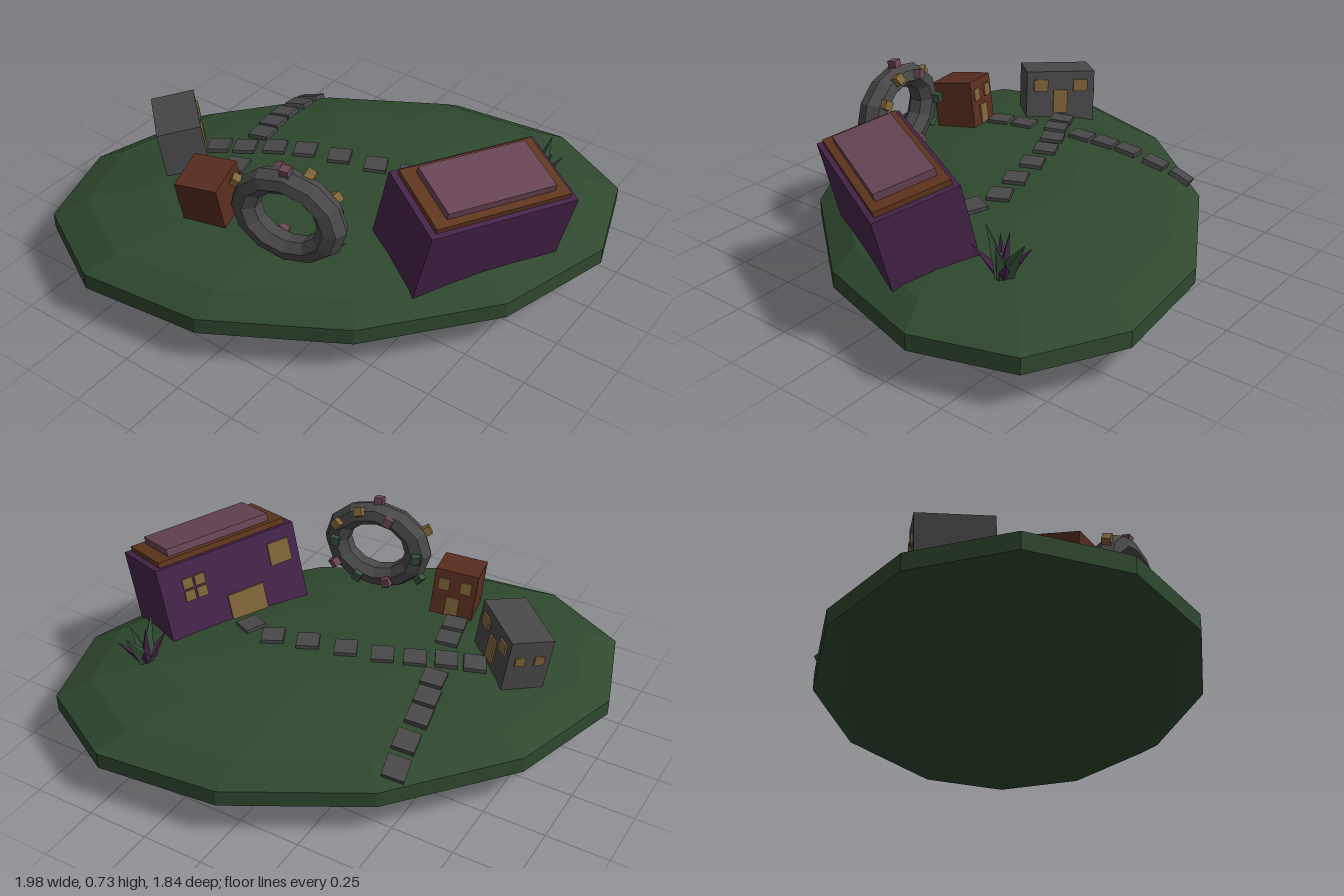
import * as THREE from 'three';

const mat = (name, color) => {
  const m = new THREE.MeshStandardMaterial({ color, flatShading: true });
  m.name = name;
  return m;
};
const M = {
  grass: mat('grass green', 0x2f482e),
  plum: mat('plum wall', 0x46244a),
  rose: mat('dusty rose', 0x674454),
  trim: mat('brown trim', 0x5e361d),
  rust: mat('rust wall', 0x592d1f),
  gray: mat('stone gray', 0x484848),
  gold: mat('window gold', 0x7d6338),
  leaf: mat('leaf green', 0x35503a),
};

const rad = THREE.MathUtils.degToRad;
const V = (x, y, z) => new THREE.Vector3(x, y, z);

function add(parent, name, geometry, material, x = 0, y = 0, z = 0) {
  const mesh = new THREE.Mesh(geometry, material);
  mesh.name = name;
  mesh.position.set(x, y, z);
  parent.add(mesh);
  return mesh;
}
const box = (parent, name, material, w, h, d, x, y, z) =>
  add(parent, name, new THREE.BoxGeometry(w, h, d), material, x, y, z);

// Group whose local y follows a normal and whose local x follows a direction
function frame(parent, name, pos, xDir, normal) {
  const g = new THREE.Group();
  g.name = name;
  const y = normal.clone().normalize();
  const z = xDir.clone().cross(y).normalize();
  const x = y.clone().cross(z);
  g.quaternion.setFromRotationMatrix(new THREE.Matrix4().makeBasis(x, y, z));
  g.position.copy(pos);
  parent.add(g);
  return g;
}

// Island: a skewed, flattened sphere
const A = V(0.518, 0, -0.934), B = V(0.863, 0, 0.142), H = 0.19;
function groundY(x, z) {
  const det = A.x * B.z - B.x * A.z;
  const p = (x * B.z - B.x * z) / det;
  const q = (A.x * z - A.z * x) / det;
  return H + H * Math.sqrt(Math.max(0, 1 - p * p - q * q));
}
function groundNormal(x, z) {
  const e = 0.03;
  return V(groundY(x - e, z) - groundY(x + e, z), 2 * e, groundY(x, z - e) - groundY(x, z + e));
}

function island(root) {
  const geo = new THREE.SphereGeometry(1, 12, 9);
  geo.applyMatrix4(new THREE.Matrix4().makeBasis(A, V(0, H, 0), B));
  add(root, 'island', geo, M.grass, 0, H, 0);
}

// Large hall; the group origin is the middle of its wall top
function hall(root) {
  const g = frame(root, 'hall', V(0.661, 0.61, 0.035), V(0.28, -0.04, -0.54), V(0.24, 0.965, 0.058));
  box(g, 'hallWalls', M.plum, 0.61, 0.36, 0.33, 0, -0.18, 0);
  box(g, 'roofTrim', M.trim, 0.56, 0.022, 0.29, 0, 0.011, 0);
  box(g, 'roofSlab', M.rose, 0.45, 0.03, 0.23, 0, 0.037, 0);
  const z = -0.168;
  for (const i of [-1, 1]) for (const j of [-1, 1])
    box(g, 'windowPane', M.gold, 0.043, 0.043, 0.009, 0.165 + i * 0.026, -0.115 + j * 0.026, z);
  box(g, 'window', M.gold, 0.095, 0.095, 0.009, -0.22, -0.1, z);
  box(g, 'hallDoor', M.gold, 0.16, 0.15, 0.009, -0.04, -0.275, z);
}

// Small rust house
function rustHouse(root) {
  const g = frame(root, 'rustHouse', V(-0.27, 0.535, 0.48), V(0.17, 0, -0.04), V(-0.04, 0.98, 0.17));
  box(g, 'rustWalls', M.rust, 0.175, 0.23, 0.175, 0, -0.115, 0);
  for (const s of [-1, 1]) box(g, 'window', M.gold, 0.045, 0.05, 0.009, s * 0.045, -0.06, -0.09);
  box(g, 'rustDoor', M.gold, 0.055, 0.08, 0.009, 0, -0.15, -0.09);
}

// Long gray house
function grayHouse(root) {
  const g = frame(root, 'grayHouse', V(-0.63, 0.532, 0.24), V(0.213, 0.01, 0.2), V(-0.12, 0.99, 0.07));
  box(g, 'grayWalls', M.gray, 0.29, 0.23, 0.175, 0, -0.115, 0);
  for (const s of [-1, 1]) {
    box(g, 'sideWindow', M.gold, 0.009, 0.036, 0.04, -0.148, -0.085, s * 0.04);
    box(g, 'frontWindow', M.gold, 0.06, 0.05, 0.009, s * 0.085, -0.06, -0.09);
  }
  box(g, 'grayDoor', M.gold, 0.06, 0.1, 0.009, 0, -0.13, -0.09);
}

// Standing stone ring dotted with small blocks: [ring angle, tube angle, material]
function ring(root) {
  const R = 0.179, t = 0.057, squash = 0.82;
  const g = new THREE.Group();
  g.name = 'ring';
  g.position.set(0.12, 0.515, 0.48);
  g.rotation.y = 0.14;
  root.add(g);
  const geo = new THREE.TorusGeometry(R, t, 7, 12);
  geo.scale(1, squash, 1);
  add(g, 'ringStone', geo, M.gray);
  const blocks = [
    [90, 10, M.rose], [150, 20, M.gold], [110, -80, M.rose], [72, -60, M.gold],
    [35, -75, M.gold], [215, -20, M.leaf], [325, -60, M.rose], [5, -100, M.leaf],
    [180, -80, M.leaf], [250, -90, M.rose], [292, -90, M.leaf],
  ];
  for (const [a, b, m] of blocks) {
    const r = R + t * Math.cos(rad(b));
    const block = box(g, 'ringBlock', m, 0.042, 0.036, 0.036,
      r * Math.cos(rad(a)), r * Math.sin(rad(a)) * squash, t * Math.sin(rad(b)));
    block.rotation.set(0, rad(-b), rad(a), 'ZYX');
  }
}

// Stone paths laid on the slope
function paths(root) {
  const routes = [
    [0.17, [[-0.5, -0.48], [-0.48, -0.37], [-0.465, -0.245], [-0.445, -0.145], [-0.42, -0.045]]],
    [0.45, [[-0.51, 0.125], [-0.41, 0.08], [-0.305, 0.02], [-0.19, -0.03],
      [-0.05, -0.07], [0.1, -0.105], [0.24, -0.14]]],
    [-0.45, [[0.365, -0.11]]],
    [0.25, [[-0.355, 0.205], [-0.33, 0.31]]],
  ];
  for (const [yaw, stones] of routes) for (const [x, z] of stones) {
    const g = frame(root, 'pathStone', V(x, groundY(x, z), z),
      V(Math.cos(yaw), 0, -Math.sin(yaw)), groundNormal(x, z));
    box(g, 'stone', M.gray, 0.088, 0.024, 0.088, 0, 0, 0);
  }
}

// Spiky plant: [heading, lean, base radius, height, material]
function plant(root) {
  const g = frame(root, 'plant', V(0.62, 0.315, -0.46), V(1, 0, 0), V(0.1, 1, -0.08));
  const spikes = [
    [95, 28, 0.04, 0.19, M.leaf], [265, 24, 0.04, 0.2, M.leaf], [0, 15, 0.035, 0.16, M.leaf],
    [45, 38, 0.028, 0.15, M.plum], [135, 42, 0.028, 0.15, M.plum], [225, 40, 0.028, 0.15, M.plum],
    [290, 46, 0.028, 0.16, M.plum], [180, 12, 0.028, 0.17, M.plum],
  ];
  for (const [heading, lean, r, h, m] of spikes) {
    const geo = new THREE.ConeGeometry(r, h, 4);
    geo.translate(0, h / 2, 0);
    const s = add(g, 'leafSpike', geo, m);
    s.rotation.set(0, rad(heading), -rad(lean), 'YZX');
  }
}

export function createModel() {
  const root = new THREE.Group();
  root.name = 'islandVillage';
  for (const build of [island, hall, rustHouse, grayHouse, ring, paths, plant]) build(root);
  return root;
}
